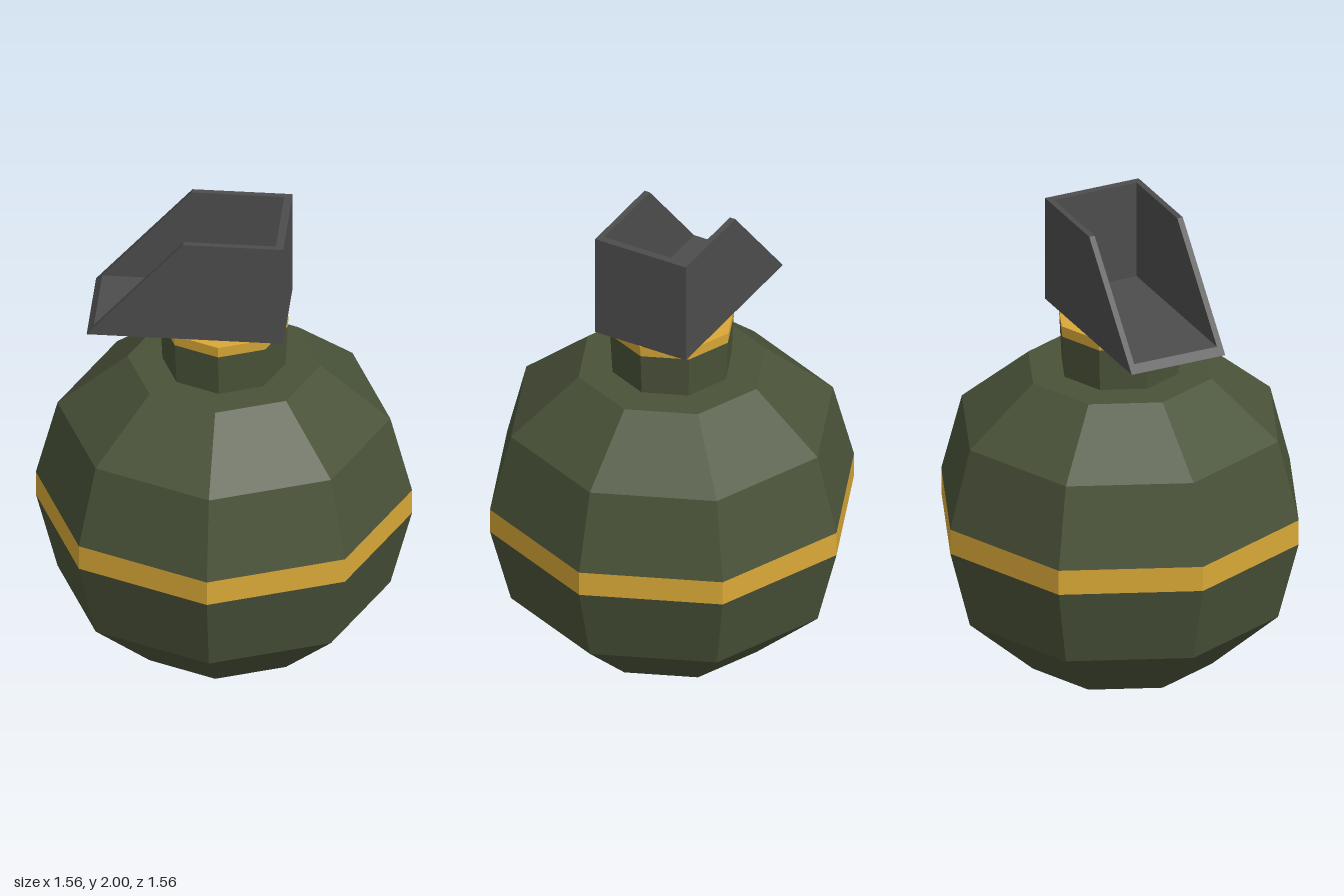
import * as THREE from 'three';

const flat = (name, color) => {
  const m = new THREE.MeshStandardMaterial({ color, flatShading: true });
  m.name = name;
  return m;
};

export function createModel() {
  const olive = flat('olive', 0x4a5339);
  const gold = flat('gold', 0xd9a837);
  const grey = flat('dark grey', 0x4d4d4d);

  const model = new THREE.Group();
  model.name = 'grenade';

  const add = (name, geometry, material, z = 0) => {
    const mesh = new THREE.Mesh(geometry, material);
    mesh.name = name;
    mesh.position.z = z;
    model.add(mesh);
  };

  // Eight-sided turned part from [radius, height] pairs, listed bottom to top
  const turned = (name, profile, material) =>
    add(name, new THREE.LatheGeometry(profile.map(([r, y]) => new THREE.Vector2(r, y)), 8), material);

  // Side profile in x and y, extruded across z and centred
  const slab = (points, depth) => {
    const shape = new THREE.Shape(points.map(([x, y]) => new THREE.Vector2(x, y)));
    return new THREE.ExtrudeGeometry(shape, { depth, bevelEnabled: false }).translate(0, 0, -depth / 2);
  };

  // Body with its painted belt
  turned('lowerBody', [[0, 0], [0.4, 0], [0.69, 0.26], [0.78, 0.605]], olive);
  turned('bodyBelt', [[0.78, 0.605], [0.78, 0.715]], gold);
  turned('upperBody', [[0.78, 0.715], [0.69, 1.06], [0.4, 1.305], [0, 1.305]], olive);

  // Neck and collar
  turned('neck', [[0.255, 1.305], [0.265, 1.49]], olive);
  turned('collar', [[0.265, 1.49], [0.268, 1.538], [0, 1.538]], gold);

  // Lever housing: two side plates joined by a floor and an end wall, open on top and along the slope
  const side = slab([[-0.55, 1.54], [0.265, 1.54], [0.265, 2], [-0.15, 2]], 0.025);
  for (const s of [-1, 1]) add(s > 0 ? 'leverFrontPlate' : 'leverBackPlate', side, grey, s * 0.2025);
  add('leverFloorAndEnd', slab([
    [-0.55, 1.54], [0.265, 1.54], [0.265, 2], [0.232, 2], [0.232, 1.572], [-0.522, 1.572],
  ], 0.38), grey);

  return model;
}
